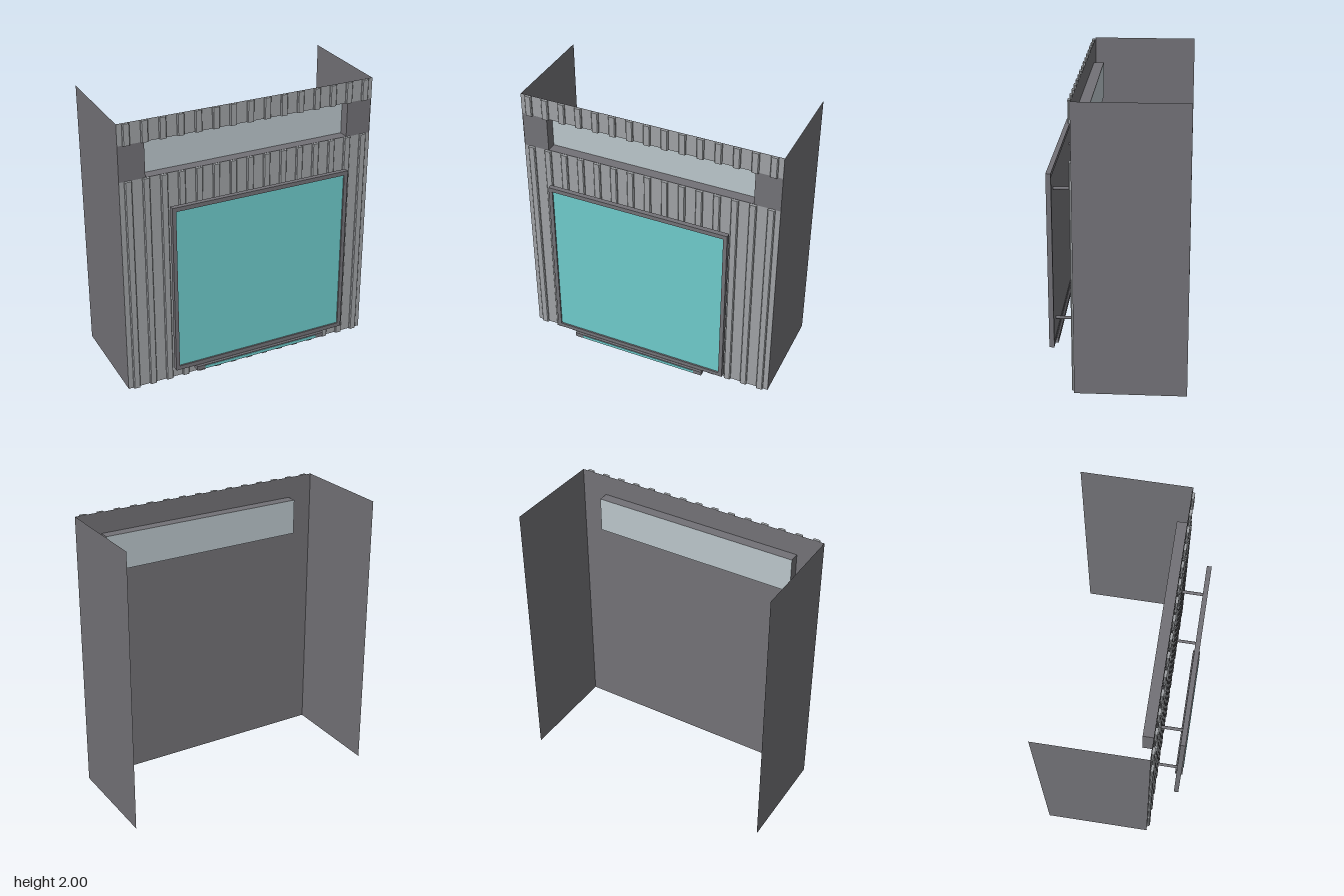
import * as THREE from 'three';

export function createModel() {
  const root = new THREE.Group();
  const mat = (name, color, side = THREE.FrontSide) => {
    const m = new THREE.MeshStandardMaterial({ color, side });
    m.name = name;
    return m;
  };
  const dark = mat('dark grey', 0x727176, THREE.DoubleSide);
  const cladding = mat('light grey cladding', 0x9ea1a4);
  const glass = mat('pale window glass', 0xbac5ca, THREE.DoubleSide);
  const cyan = mat('cyan panel', 0x6ecaca);

  const add = (name, geometry, material, x = 0, y = 0, z = 0, parent = root) => {
    const mesh = new THREE.Mesh(geometry, material);
    mesh.name = name;
    mesh.position.set(x, y, z);
    parent.add(mesh);
    return mesh;
  };
  const box = (name, w, h, d, material, x, y, z, parent) =>
    add(name, new THREE.BoxGeometry(w, h, d), material, x, y, z, parent);
  const plane = (name, w, h, material, x, y, z) =>
    add(name, new THREE.PlaneGeometry(w, h), material, x, y, z);

  const W = 0.935, wallZ = 0.266;
  const winX = 0.75, winLow = 1.597, winTop = 1.85, winBack = 0.193;
  const winMid = (winLow + winTop) / 2, winH = winTop - winLow;

  // Front wall sheet with a window opening
  const wall = new THREE.Shape([
    new THREE.Vector2(-W, 0), new THREE.Vector2(W, 0),
    new THREE.Vector2(W, 2), new THREE.Vector2(-W, 2),
  ]);
  wall.holes.push(new THREE.Path([
    new THREE.Vector2(-winX, winLow), new THREE.Vector2(-winX, winTop),
    new THREE.Vector2(winX, winTop), new THREE.Vector2(winX, winLow),
  ]));
  add('frontWall', new THREE.ShapeGeometry(wall), dark, 0, 0, wallZ);

  // Side walls
  for (const s of [-1, 1]) {
    plane('sideWall', 0.75, 2, dark, s * W, 1, -0.105).rotation.y = s * Math.PI / 2;
  }

  // Recessed window
  const depth = wallZ - winBack, midZ = (wallZ + winBack) / 2;
  plane('windowGlass', winX * 2, winH, glass, 0, winMid, winBack);
  for (const s of [-1, 1]) {
    plane('windowJamb', depth, winH, dark, s * winX, winMid, midZ).rotation.y = s * Math.PI / 2;
    plane('windowReveal', winX * 2, depth, dark, 0, winMid + s * winH / 2, midZ).rotation.x = -s * Math.PI / 2;
  }

  // Ribbed cladding below and above the window band
  const rib = new THREE.Shape([
    [-0.025, 0.004], [-0.02, 0], [0.02, 0], [0.025, 0.004],
    [0.025, 0.012], [0.019, 0.019], [-0.019, 0.019], [-0.025, 0.012],
  ].map(([x, y]) => new THREE.Vector2(x, -y)).reverse());
  for (const [low, high] of [[0, winLow], [winTop, 2]]) {
    plane('claddingSheet', W * 2, high - low, cladding, 0, (low + high) / 2, 0.271);
    const ribGeo = new THREE.ExtrudeGeometry(rib, { depth: high - low, bevelEnabled: false });
    ribGeo.rotateX(-Math.PI / 2);
    for (let i = -7; i <= 7; i++) add('claddingRib', ribGeo, cladding, i * 0.125, low, 0.269);
  }

  // Framed display panel standing off the wall
  const sign = new THREE.Group();
  sign.name = 'displayPanel';
  root.add(sign);
  const midY = 0.815;
  for (const s of [-1, 1]) {
    box('frameSide', 0.027, 1.25, 0.034, dark, s * 0.6385, midY, 0.449, sign);
    box('frameRail', 1.25, 0.03, 0.034, dark, 0, midY + s * 0.61, 0.449, sign);
    for (const y of [0.345, 1.29]) {
      const arm = add('wallBracket', new THREE.CylinderGeometry(0.011, 0.011, 0.162, 12), dark, s * 0.5, y, 0.354, sign);
      arm.rotation.x = Math.PI / 2;
    }
  }
  box('panelBacking', 1.25, 1.19, 0.014, dark, 0, midY, 0.442, sign);
  box('panelFace', 1.25, 1.19, 0.006, cyan, 0, midY, 0.452, sign);

  // Slim lamp housing under the frame, with chamfered upper edges
  const lamp = new THREE.Shape([
    [0.42, 0.15], [0.477, 0.15], [0.477, 0.182], [0.468, 0.19], [0.429, 0.19], [0.42, 0.182],
  ].map(([z, y]) => new THREE.Vector2(-z, y)));
  const lampGeo = new THREE.ExtrudeGeometry(lamp, { depth: 1, bevelEnabled: false });
  lampGeo.rotateY(Math.PI / 2);
  add('lampHousing', lampGeo, dark, -0.5, 0, 0, sign);
  box('lampStrip', 0.88, 0.02, 0.005, cyan, 0, 0.165, 0.4775, sign);

  return root;
}
